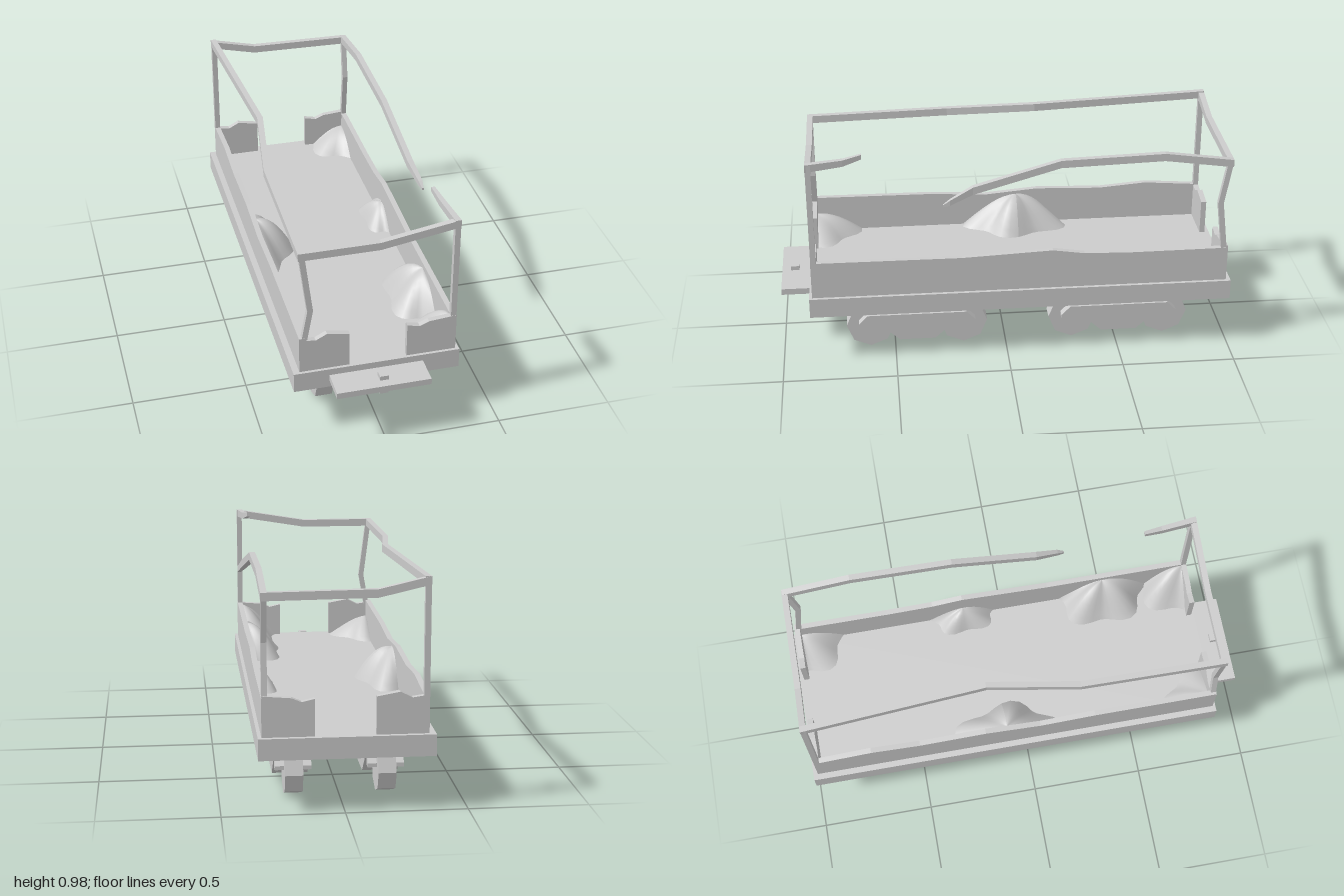
import * as THREE from 'three';

const mat = new THREE.MeshStandardMaterial({ color: 0xcccccc, flatShading: true });
const smoothMat = new THREE.MeshStandardMaterial({ color: 0xcccccc, side: THREE.DoubleSide });

function add(parent, name, geometry, material = mat) {
  const mesh = new THREE.Mesh(geometry, material);
  mesh.name = name;
  parent.add(mesh);
  return mesh;
}

// Box given by its min and max along each axis
function box(parent, name, x0, x1, y0, y1, z0, z1) {
  const g = new THREE.BoxGeometry(x1 - x0, y1 - y0, z1 - z0);
  g.translate((x0 + x1) / 2, (y0 + y1) / 2, (z0 + z1) / 2);
  return add(parent, name, g);
}

// Outline in [z, y], extruded from x0 to x1
function sidePlate(parent, name, pts, x0, x1) {
  const shape = new THREE.Shape(pts.map(([z, y]) => new THREE.Vector2(-z, y)));
  const g = new THREE.ExtrudeGeometry(shape, { depth: x1 - x0, bevelEnabled: false });
  g.rotateY(Math.PI / 2).translate(x0, 0, 0);
  return add(parent, name, g);
}

// Outline in [x, y], extruded from z0 to z1
function endPlate(parent, name, pts, z0, z1) {
  const shape = new THREE.Shape(pts.map(([x, y]) => new THREE.Vector2(x, y)));
  const g = new THREE.ExtrudeGeometry(shape, { depth: z1 - z0, bevelEnabled: false });
  return add(parent, name, g.translate(0, 0, z0));
}

// Bent bar: rectangular section swept through points [x, y, z, scale],
// listed in rising order along the main axis (0 = x, 1 = y, 2 = z)
function bar(parent, name, axis, points, a, b) {
  const u = (axis + 1) % 3, v = (axis + 2) % 3;
  const rings = points.map((p) =>
    [[-1, -1], [1, -1], [1, 1], [-1, 1]].map(([i, j]) => {
      const q = p.slice(0, 3), s = p[3] ?? 1;
      q[u] += (i * a * s) / 2;
      q[v] += (j * b * s) / 2;
      return q;
    }));
  const pos = [];
  const quad = (p, q, r, s) => pos.push(...p, ...q, ...r, ...p, ...r, ...s);
  for (let k = 0; k + 1 < rings.length; k++) {
    for (let i = 0; i < 4; i++) {
      const j = (i + 1) % 4;
      quad(rings[k][i], rings[k][j], rings[k + 1][j], rings[k + 1][i]);
    }
  }
  const first = rings[0], last = rings[rings.length - 1];
  quad(first[3], first[2], first[1], first[0]);
  quad(...last);
  const g = new THREE.BufferGeometry();
  g.setAttribute('position', new THREE.Float32BufferAttribute(pos, 3));
  g.computeVertexNormals();
  return add(parent, name, g);
}

// Lumpy heap on the deck, kept inside the walls
function heap(parent, x, z, rx, rz, h, phase) {
  const rings = 8, segs = 36, pos = [], index = [];
  for (let r = 0; r <= rings; r++) {
    for (let s = 0; s <= segs; s++) {
      const t = r / rings, a = (s / segs) * Math.PI * 2;
      const lobe = 1 + 0.13 * Math.sin(5 * a + phase);
      const px = x + Math.cos(a) * rx * t * lobe;
      const pz = z + Math.sin(a) * rz * t * lobe;
      const lump = 1 + 0.25 * t * Math.sin(3 * a + phase * 2);
      pos.push(
        THREE.MathUtils.clamp(px, -0.318, 0.313),
        0.318 + h * Math.cos((t * Math.PI) / 2) * lump,
        THREE.MathUtils.clamp(pz, -0.958, 0.838));
      if (r < rings && s < segs) {
        const i = r * (segs + 1) + s, j = i + segs + 1;
        index.push(i, i + 1, j, i + 1, j + 1, j);
      }
    }
  }
  const g = new THREE.BufferGeometry();
  g.setAttribute('position', new THREE.Float32BufferAttribute(pos, 3));
  g.setIndex(index);
  g.computeVertexNormals();
  add(parent, 'debrisHeap', g, smoothMat);
}

// Wheel pair with its side frame and mounting block
function bogie(parent, x, z) {
  const g = new THREE.Group();
  g.name = 'bogie';
  for (const dz of [-0.21, 0.21]) {
    const wheel = new THREE.CylinderGeometry(0.107, 0.107, 0.075, 8);
    wheel.rotateZ(Math.PI / 2).translate(0, 0.109, dz);
    add(g, 'wheel', wheel);
  }
  const half = [[0.08, 0.048], [0.19, 0.15], [0.218, 0.15], [0.23, 0.118], [0.262, 0.118], [0.262, 0.135], [0.222, 0.176]];
  const mirrored = half.map(([a, b]) => [-a, b]).reverse();
  sidePlate(g, 'bogieFrame', [...half, ...mirrored], -0.076, 0.076);
  box(g, 'bogieMount', -0.025, 0.025, 0.17, 0.235, -0.08, 0.08);
  g.position.set(x, 0, z);
  parent.add(g);
}

export function createModel() {
  const root = new THREE.Group();
  root.name = 'wreckedRailCar';

  // Deck and coupler
  box(root, 'deck', -0.367, 0.35, 0.23, 0.32, -1, 0.873);
  box(root, 'couplerPlate', -0.215, 0.19, 0.262, 0.29, 0.86, 1);
  box(root, 'couplerPin', -0.021, 0.017, 0.221, 0.31, 0.922, 0.96);

  for (const x of [-0.194, 0.192]) for (const z of [0.4, -0.514]) bogie(root, x, z);

  // Side walls with worn top edges
  sidePlate(root, 'leftWall', [[0.86, 0.318], [0.86, 0.49], [0.2, 0.487], [-0.2, 0.505], [-0.34, 0.484],
    [-0.55, 0.478], [-0.98, 0.48], [-0.98, 0.318]].reverse(), 0.311, 0.335);
  sidePlate(root, 'rightWall', [[0.86, 0.318], [0.86, 0.488], [0.3, 0.485], [0.05, 0.47], [-0.2, 0.492],
    [-0.5, 0.482], [-0.72, 0.5], [-0.98, 0.48], [-0.98, 0.318]].reverse(), -0.34, -0.316);

  // Broken end walls, a remnant at each corner
  const rightEnd = [[-0.338, 0.318], [-0.126, 0.318], [-0.126, 0.478], [-0.222, 0.495], [-0.27, 0.47], [-0.338, 0.48]];
  const leftEnd = [[0.121, 0.318], [0.333, 0.318], [0.333, 0.49], [0.215, 0.48], [0.175, 0.463], [0.121, 0.475]];
  for (const [name, z] of [['front', 0.836], ['back', -0.98]]) {
    endPlate(root, name + 'RightEndWall', rightEnd, z, z + 0.024);
    endPlate(root, name + 'LeftEndWall', leftEnd, z, z + 0.024);
  }

  // Corner posts, two straight and two buckled
  bar(root, 'frontLeftPost', 1, [[0.322, 0.4, 0.847], [0.322, 0.955, 0.847]], 0.024, 0.024);
  bar(root, 'backRightPost', 1, [[-0.328, 0.4, -0.968], [-0.328, 0.955, -0.968]], 0.024, 0.024);
  bar(root, 'frontRightPost', 1, [[-0.326, 0.43, 0.847], [-0.292, 0.62, 0.847], [-0.326, 0.89, 0.847]], 0.024, 0.024);
  bar(root, 'backLeftPost', 1, [[0.322, 0.45, -0.965], [0.322, 0.7, -0.935], [0.322, 0.895, -0.968]], 0.024, 0.024);

  // Sagging top rails
  bar(root, 'frontRail', 0, [[-0.34, 0.888, 0.847], [0, 0.888, 0.847], [0.333, 0.943, 0.847]], 0.034, 0.026);
  bar(root, 'backRail', 0, [[-0.34, 0.943, -0.968], [-0.13, 0.895, -0.968], [0.333, 0.89, -0.968]], 0.034, 0.026);
  bar(root, 'rightRail', 2, [[-0.328, 0.943, -0.98], [-0.268, 0.934, -0.18], [-0.326, 0.904, 0.22],
    [-0.328, 0.888, 0.86]], 0.026, 0.034);

  // Left rail, snapped into a long and a short piece
  bar(root, 'leftRailBack', 2, [[0.322, 0.89, -0.98], [0.322, 0.932, -0.68], [0.322, 0.918, -0.23],
    [0.335, 0.815, 0.15], [0.354, 0.77, 0.25, 0.7], [0.357, 0.756, 0.28, 0.3]], 0.026, 0.034);
  bar(root, 'leftRailFront', 2, [[0.288, 0.971, 0.62, 0.6], [0.302, 0.952, 0.7, 0.85],
    [0.322, 0.943, 0.86]], 0.026, 0.034);

  // Debris: x, z, reach in x, reach in z, height, shape phase
  for (const d of [
    [-0.315, -0.1, 0.15, 0.23, 0.15, 0.6],
    [0.31, -0.2, 0.09, 0.15, 0.09, 2],
    [0.31, 0.46, 0.16, 0.21, 0.15, 1.2],
    [0.31, 0.84, 0.17, 0.2, 0.16, 0.3],
    [-0.315, 0.84, 0.17, 0.19, 0.09, 2.6],
    [0.31, -0.96, 0.17, 0.19, 0.09, 1.5],
  ]) heap(root, ...d);

  return root;
}
